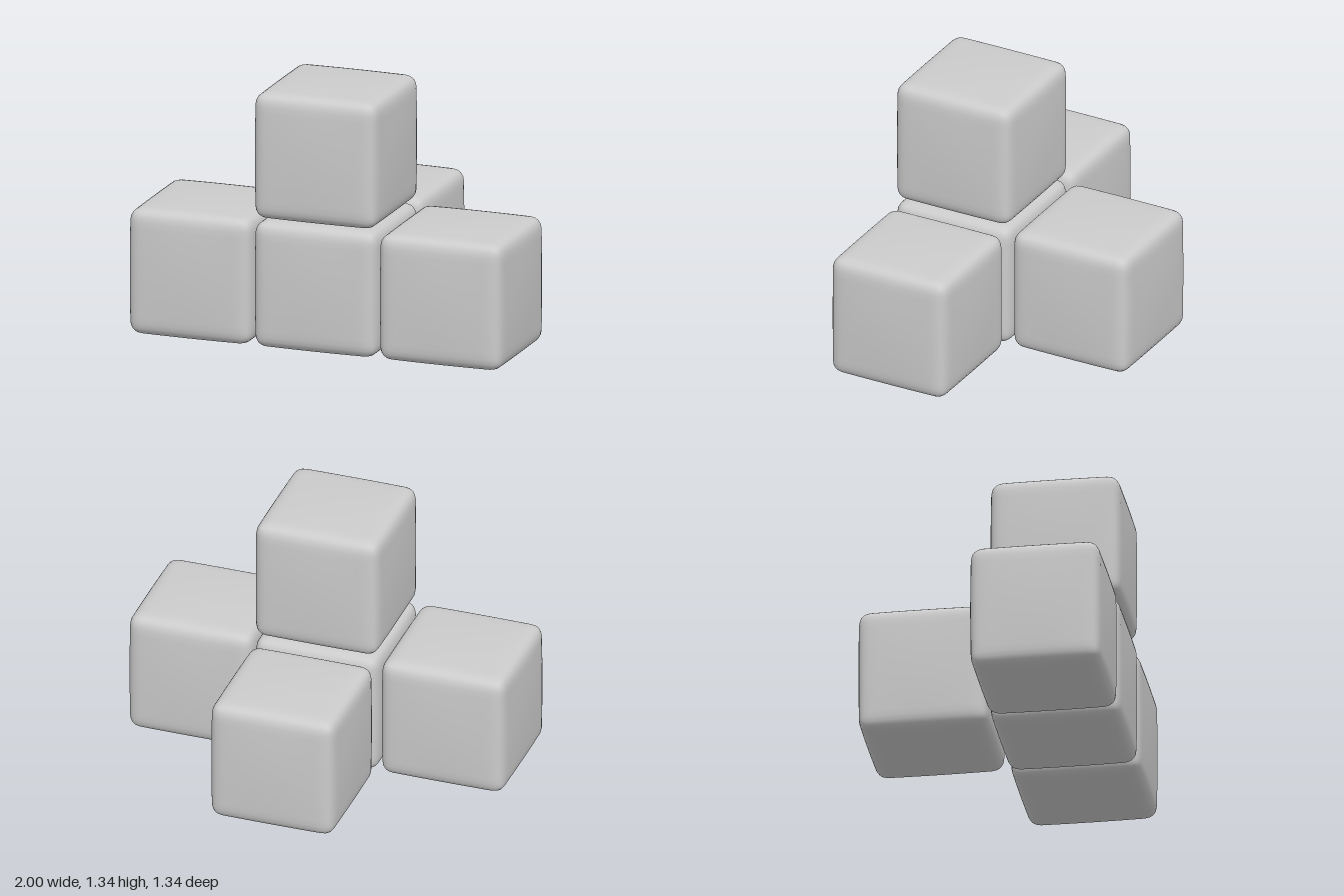
import * as THREE from 'three';
import { mergeVertices } from 'three/addons/utils/BufferGeometryUtils.js';

const HALF = 0.323;    // half size at the rim of each face
const RADIUS = 0.06;   // edge rounding
const BULGE = 0.013;   // outward swell at the middle of each face
const STEP = 0.664;    // distance between neighbouring cubes

// Rounded cube with softly pillowed faces
function pillowCube() {
  let geo = new THREE.BoxGeometry(2, 2, 2, 20, 20, 20);
  geo.deleteAttribute('uv');
  geo.deleteAttribute('normal');
  geo = mergeVertices(geo, 1e-4);
  const pos = geo.attributes.position;
  const p = new THREE.Vector3();
  const inner = new THREE.Vector3();
  const core = HALF - RADIUS;
  const ease = (t) => HALF * Math.sin(t * Math.PI / 2); // denser towards the edges
  for (let i = 0; i < pos.count; i++) {
    p.fromBufferAttribute(pos, i);
    p.set(ease(p.x), ease(p.y), ease(p.z));
    inner.copy(p).clampScalar(-core, core);
    p.sub(inner).setLength(RADIUS).add(inner);
    const [u, v, w] = p.toArray().map((c) => c / HALF);
    const [fu, fv, fw] = [u, v, w].map((c) => 1 - c * c);
    p.x += BULGE * u * fv * fw;
    p.y += BULGE * v * fu * fw;
    p.z += BULGE * w * fu * fv;
    pos.setXYZ(i, p.x, p.y, p.z);
  }
  geo.computeVertexNormals();
  return geo;
}

export function createModel() {
  const group = new THREE.Group();
  group.name = 'cubeCluster';
  const geo = pillowCube();
  const mat = new THREE.MeshStandardMaterial({ color: 0xcccccc });

  // Grid cell of each cube, counted from the centre cube
  const cells = {
    centreCube: [0, 0, 0],
    leftCube: [1, 0, 0],
    rightCube: [-1, 0, 0],
    backCube: [0, 0, -1],
    topCube: [0, 1, 0],
  };
  for (const [name, [x, y, z]] of Object.entries(cells)) {
    const cube = new THREE.Mesh(geo, mat);
    cube.name = name;
    cube.position.set(x * STEP, HALF + BULGE + y * STEP, (z + 0.5) * STEP);
    group.add(cube);
  }
  return group;
}
